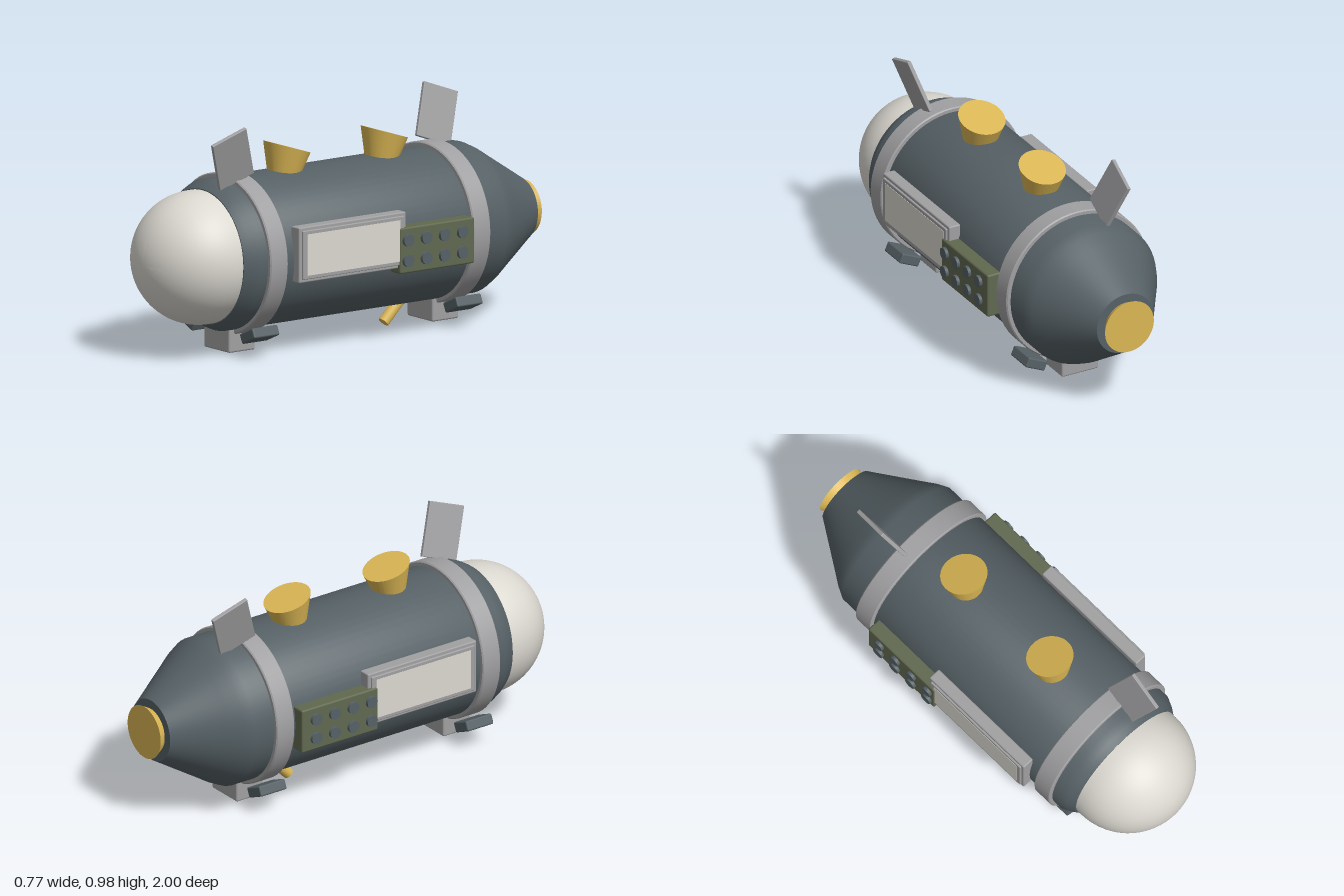
import * as THREE from 'three';
import { toCreasedNormals } from 'three/addons/utils/BufferGeometryUtils.js';
import { RoundedBoxGeometry } from 'three/addons/geometries/RoundedBoxGeometry.js';

const AXIS_Y = 0.418; // height of the hull's centre line

function material(name, color) {
  const m = new THREE.MeshStandardMaterial({ color });
  m.name = name;
  return m;
}

export function createModel() {
  const model = new THREE.Group();
  model.name = 'capsule';
  const slate = material('slate', 0x566166);
  const grey = material('grey', 0xa0a0a2);
  const ivory = material('ivory', 0xdbd8d0);
  const gold = material('gold', 0xdab654);
  const olive = material('olive', 0x60684f);

  function add(name, geometry, mat, x = 0, y = 0, z = 0, parent = model) {
    const mesh = new THREE.Mesh(geometry, mat);
    mesh.name = name;
    mesh.position.set(x, y, z);
    parent.add(mesh);
    return mesh;
  }

  // Surface of revolution about the hull axis; profile is [radius, z] from back to front
  function turned(name, profile, mat, crease = 0.7) {
    const points = profile.map(([r, z]) => new THREE.Vector2(r, z));
    const geometry = new THREE.LatheGeometry(points, 64).rotateX(Math.PI / 2);
    return add(name, toCreasedNormals(geometry, crease), mat, 0, AXIS_Y, 0);
  }

  const block = (w, h, d, r = 0.006) => new RoundedBoxGeometry(w, h, d, 2, r);

  // Hull, nose dome and rear nozzle
  turned('hull', [[0, -0.965], [0.136, -0.965], [0.142, -0.955], [0.268, -0.755], [0.3, -0.705],
    [0.322, -0.66], [0.322, 0.63], [0.305, 0.668], [0.287, 0.695], [0, 0.695]], slate);
  const dome = [[0.283, 0.69]];
  for (let i = 0; i <= 20; i++) {
    const a = (i / 20) * Math.PI / 2;
    dome.push([0.283 * Math.cos(a), 0.717 + 0.283 * Math.sin(a)]);
  }
  turned('noseDome', dome, ivory);
  turned('rearNozzle', [[0, -1], [0.117, -1], [0.092, -0.955], [0, -0.955]], gold);

  // Bands around the hull
  for (const [name, z] of [['frontBand', 0.548], ['rearBand', -0.516]]) {
    turned(name, [[0.315, z - 0.046], [0.336, z - 0.046], [0.341, z - 0.041],
      [0.341, z + 0.041], [0.336, z + 0.046], [0.315, z + 0.046]], grey, 0.4);
  }

  // Fins lean outward and away from the middle, on opposite sides
  for (const [name, s] of [['frontFin', 1], ['rearFin', -1]]) {
    const fin = add(name, block(0.017, 0.235, 0.176, 0.003), grey, s * 0.119, 0.843, s * 0.627);
    fin.rotation.order = 'ZXY';
    fin.rotation.set(s * 0.37, 0, -s * 0.275);
  }

  // Flared funnels on the back, with a sloping top that is higher in front
  for (const [name, z] of [['frontFunnel', 0.25], ['rearFunnel', -0.262]]) {
    const geometry = new THREE.CylinderGeometry(0.099, 0.064, 0.135, 48, 1);
    const p = geometry.attributes.position;
    for (let i = 0; i < p.count; i++) {
      if (p.getY(i) > 0) p.setY(i, p.getY(i) + p.getZ(i) * 0.33);
      else p.setZ(i, p.getZ(i) + 0.018);
    }
    add(name, toCreasedNormals(geometry, 0.6), gold, 0, 0.764, z);
  }

  // Framed panels and studded boxes on both flanks
  for (const [side, s] of [['left', 1], ['right', -1]]) {
    const flank = new THREE.Group();
    flank.name = side + 'Flank';
    model.add(flank);
    add('panelFrame', block(0.055, 0.237, 0.562), grey, s * 0.329, 0.449, 0.177, flank);
    add('panelRim', block(0.06, 0.208, 0.533, 0.004), grey, s * 0.335, 0.449, 0.177, flank);
    add('panelInset', new THREE.BoxGeometry(0.004, 0.176, 0.49), ivory, s * 0.3645, 0.449, 0.177, flank);
    add('studBox', block(0.07, 0.196, 0.392, 0.008), olive, s * 0.336, 0.405, -0.258, flank);
    const stud = new THREE.CylinderGeometry(0.026, 0.026, 0.03, 24).rotateZ(Math.PI / 2);
    for (let i = 0; i < 4; i++) {
      for (const y of [0.362, 0.449]) add('stud', stud, slate, s * 0.37, y, -0.1 - i * 0.095, flank);
    }
  }

  // Feet under each band with a pad on either side
  for (const [name, z] of [['front', 0.551], ['rear', -0.517]]) {
    add(name + 'Foot', block(0.176, 0.13, 0.138, 0.008), grey, 0, 0.075, z);
    for (const s of [1, -1]) {
      const pad = add(name + 'Pad', block(0.098, 0.045, 0.134, 0.007), slate, s * 0.207, 0.102, z);
      pad.rotation.z = s * 0.42;
    }
  }

  // Slanted pipe under the belly
  const pipe = add('bellyPipe', new THREE.CylinderGeometry(0.024, 0.024, 0.16, 24), gold, 0, 0.076, -0.314);
  pipe.rotation.x = -0.78;

  return model;
}
